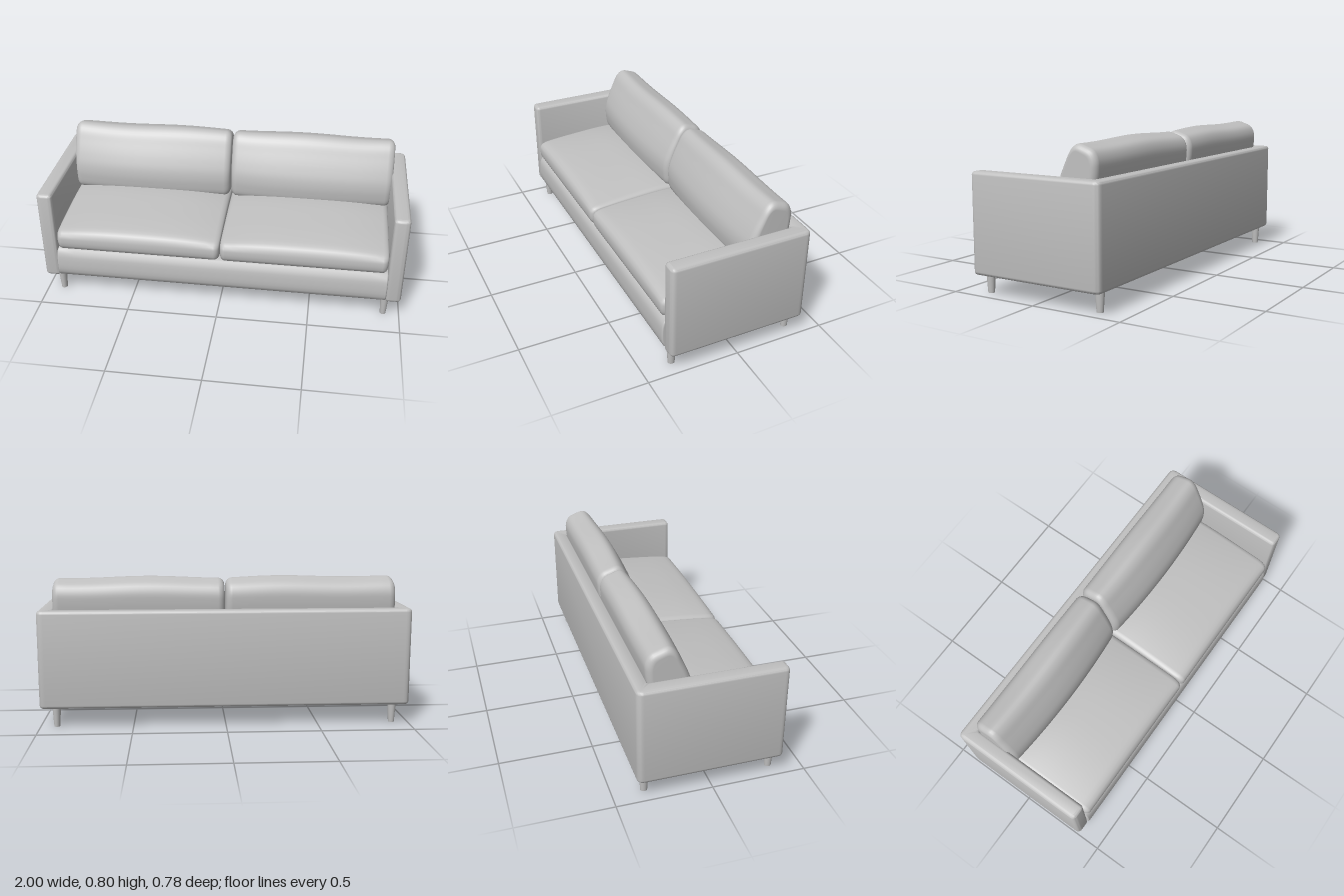
import * as THREE from 'three';
import { toCreasedNormals } from 'three/addons/utils/BufferGeometryUtils.js';

const fabric = new THREE.MeshStandardMaterial({ color: 0xc0c0c0 });
fabric.name = 'grey';

// Closed outline with a rounded corner at each [x, y, radius]
function roundedShape(corners) {
  const shape = new THREE.Shape();
  const n = corners.length;
  corners.forEach(([x, y, r], i) => {
    const p = new THREE.Vector2(x, y);
    const toward = (c) => new THREE.Vector2(c[0], c[1]).sub(p).setLength(r).add(p);
    const a = toward(corners[(i + n - 1) % n]);
    const b = toward(corners[(i + 1) % n]);
    if (i === 0) shape.moveTo(a.x, a.y);
    else shape.lineTo(a.x, a.y);
    shape.quadraticCurveTo(x, y, b.x, b.y);
  });
  shape.closePath();
  return shape;
}

// Soft block: a (z, y) profile swept from x0 to x1 with rounded ends.
// deform(point, u) bends it, u running from -1 to 1 along x.
function softBlock(profile, x0, x1, r, deform = () => {}) {
  const curve = new THREE.CatmullRomCurve3(
    profile.map(([z, y]) => new THREE.Vector3(0, y, z)), true, 'centripetal');
  const loop = curve.getSpacedPoints(72).slice(0, -1);
  const box = new THREE.Box3().setFromPoints(loop);
  const mid = box.getCenter(new THREE.Vector3());
  const half = box.getSize(new THREE.Vector3()).multiplyScalar(0.5);

  const stations = [{ x: x0, scale: 0 }];
  const steps = 6;
  for (let i = 0; i <= steps; i++) {
    const a = (i / steps) * Math.PI / 2;
    stations.push({ x: x0 + r * (1 - Math.cos(a)), inset: r * (1 - Math.sin(a)) });
  }
  for (let i = 1; i < 20; i++) {
    stations.push({ x: THREE.MathUtils.lerp(x0 + r, x1 - r, i / 20), inset: 0 });
  }
  for (let i = steps; i >= 0; i--) {
    const a = (i / steps) * Math.PI / 2;
    stations.push({ x: x1 - r * (1 - Math.cos(a)), inset: r * (1 - Math.sin(a)) });
  }
  stations.push({ x: x1, scale: 0 });

  const positions = [];
  const index = [];
  const n = loop.length;
  stations.forEach(({ x, inset = 0, scale }, i) => {
    const u = (2 * x - x0 - x1) / (x1 - x0);
    const sy = scale ?? 1 - inset / half.y;
    const sz = scale ?? 1 - inset / half.z;
    loop.forEach((p, j) => {
      const q = new THREE.Vector3(x, mid.y + (p.y - mid.y) * sy, mid.z + (p.z - mid.z) * sz);
      deform(q, u);
      positions.push(q.x, q.y, q.z);
      if (i === stations.length - 1) return;
      const a = i * n + j, b = i * n + (j + 1) % n;
      index.push(a, a + n, b, a + n, b + n, b);
    });
  });
  const geometry = new THREE.BufferGeometry();
  geometry.setAttribute('position', new THREE.Float32BufferAttribute(positions, 3));
  geometry.setIndex(index);
  geometry.computeVertexNormals();
  return geometry;
}

export function createModel() {
  const sofa = new THREE.Group();
  sofa.name = 'sofa';
  const add = (name, geometry) => {
    const mesh = new THREE.Mesh(geometry, fabric);
    mesh.name = name;
    sofa.add(mesh);
    return mesh;
  };

  // Arms and back as one U-shaped shell
  const bevel = 0.018;
  const plan = roundedShape([
    [-1, -0.378, 0.028], [-0.914, -0.378, 0.022], [-0.914, 0.31, 0.004], [0.914, 0.31, 0.004],
    [0.914, -0.378, 0.022], [1, -0.378, 0.028], [1, 0.387, 0.035], [-1, 0.387, 0.035],
  ]);
  const shell = new THREE.ExtrudeGeometry(plan, {
    depth: 0.527 - 2 * bevel, curveSegments: 6, bevelEnabled: true,
    bevelSize: bevel, bevelThickness: bevel, bevelOffset: -bevel, bevelSegments: 4,
  });
  shell.rotateX(-Math.PI / 2).translate(0, 0.105 + bevel, 0);
  add('armsAndBack', toCreasedNormals(shell, 0.7));

  // Seat base with a slightly bulging front
  const baseProfile = [
    [0.355, 0.107], [0.375, 0.118], [0.386, 0.15], [0.388, 0.2], [0.382, 0.255], [0.368, 0.28],
    [0.34, 0.285], [0, 0.285], [-0.32, 0.285], [-0.335, 0.27], [-0.335, 0.12], [-0.32, 0.107], [0, 0.107],
  ];
  add('seatBase', softBlock(baseProfile, -0.918, 0.918, 0.008));

  // Seat cushions, crowned along their width
  const seatProfile = [
    [0.355, 0.285], [0.376, 0.3], [0.385, 0.345], [0.378, 0.39], [0.355, 0.411], [0.28, 0.428],
    [0.12, 0.448], [-0.04, 0.461], [-0.2, 0.455], [-0.29, 0.44], [-0.308, 0.41], [-0.305, 0.31],
    [-0.28, 0.285], [0, 0.283],
  ];
  const crown = (p, u) => {
    p.y -= 0.035 * Math.abs(u) ** 2.5 * THREE.MathUtils.clamp((p.y - 0.36) / 0.1, 0, 1);
  };

  // Back cushions, leaning back and fullest in the middle
  const backProfile = [
    [-0.08, 0.43], [-0.06, 0.5], [-0.063, 0.57], [-0.085, 0.635], [-0.122, 0.71], [-0.158, 0.77],
    [-0.195, 0.794], [-0.25, 0.783], [-0.298, 0.762], [-0.319, 0.72], [-0.32, 0.67], [-0.312, 0.6],
    [-0.298, 0.48], [-0.28, 0.425], [-0.18, 0.415],
  ];
  const plump = (p, u) => {
    const front = THREE.MathUtils.clamp((p.z + 0.3) / 0.24, 0, 1);
    const top = THREE.MathUtils.clamp((p.y - 0.55) / 0.24, 0, 1);
    p.z -= 0.025 * u * u * front;
    p.y -= top * (0.004 * u * u + 0.004 * Math.sin(p.x * 9 + 1));
  };

  for (const side of [-1, 1]) {
    const span = (inner, outer) => (side > 0 ? [inner, outer] : [-outer, -inner]);
    add('seatCushion', softBlock(seatProfile, ...span(0.002, 0.911), 0.03, crown));
    add('backCushion', softBlock(backProfile, ...span(0.003, 0.923), 0.036, plump));

    // Tapered legs
    for (const z of [0.334, -0.335]) {
      const leg = add('leg', new THREE.CylinderGeometry(0.026, 0.018, 0.115, 16));
      leg.scale.x = 0.9;
      leg.position.set(side * 0.913, 0.0575, z);
    }
  }
  return sofa;
}
